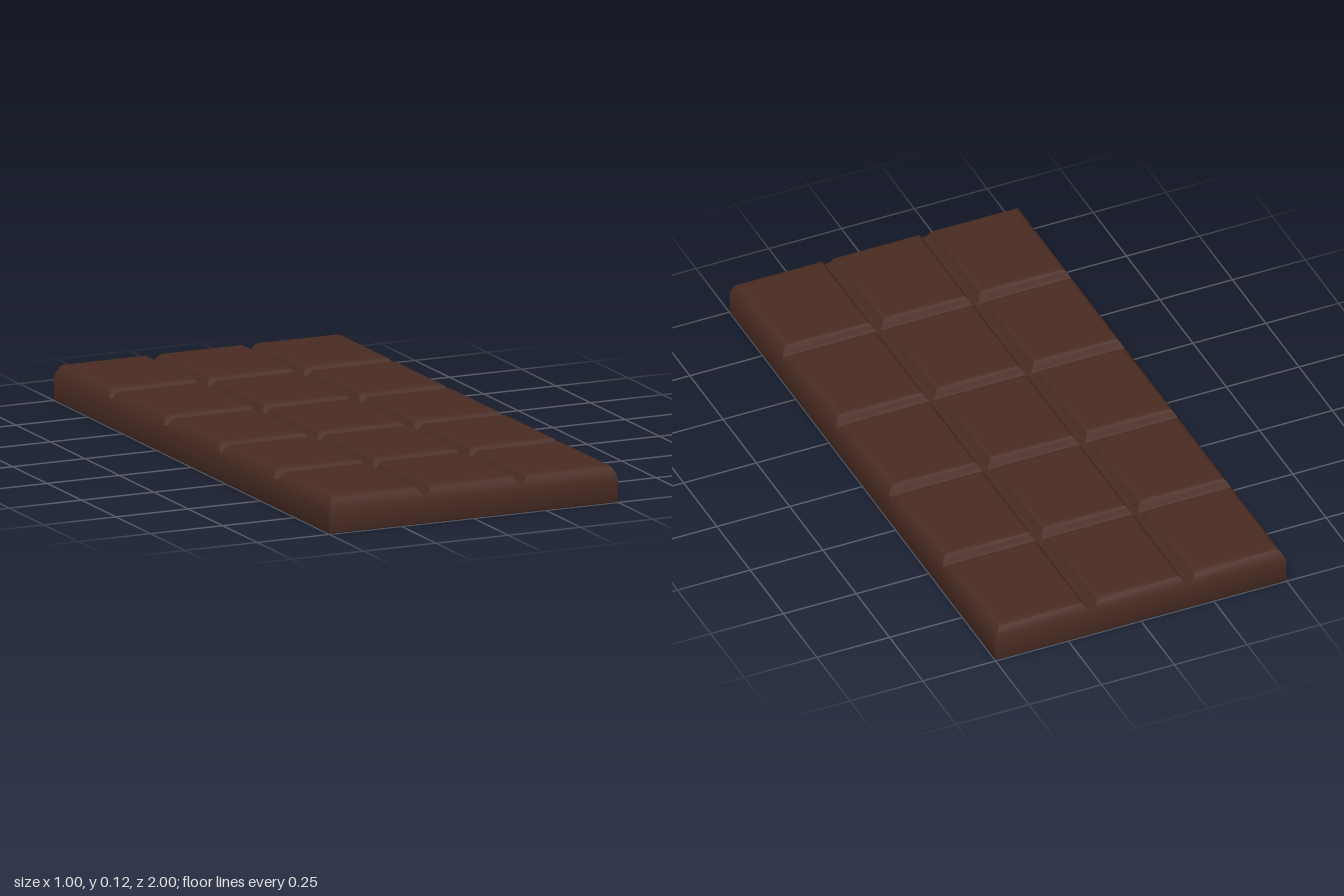
import * as THREE from 'three';
import { toCreasedNormals } from 'three/addons/utils/BufferGeometryUtils.js';

const HALF_W = 0.5, HALF_L = 1, COLS = 3, ROWS = 5;

// Stacks rectangular rings { x0, x1, z0, z1, y } into a capped shell.
function loft(rings, closeBottom) {
  const pos = [];
  const corners = rings.map(r => [
    [r.x0, r.y, r.z1], [r.x1, r.y, r.z1], [r.x1, r.y, r.z0], [r.x0, r.y, r.z0],
  ]);
  const quad = (a, b, c, d) => pos.push(...a, ...b, ...c, ...a, ...c, ...d);
  for (let k = 0; k < corners.length - 1; k++) {
    const lo = corners[k], hi = corners[k + 1];
    for (let i = 0; i < 4; i++) {
      const j = (i + 1) % 4;
      quad(lo[i], lo[j], hi[j], hi[i]);
    }
  }
  quad(...corners[corners.length - 1]);
  if (closeBottom) quad(...[...corners[0]].reverse());
  const geo = new THREE.BufferGeometry();
  geo.setAttribute('position', new THREE.Float32BufferAttribute(pos, 3));
  return toCreasedNormals(geo, 0.6);
}

export function createModel() {
  const bar = new THREE.Group();
  bar.name = 'chocolateBar';
  const chocolate = new THREE.MeshStandardMaterial({ color: 0x4a2c23 });
  chocolate.name = 'darkChocolate';

  const add = (name, geo) => {
    const mesh = new THREE.Mesh(geo, chocolate);
    mesh.name = name;
    bar.add(mesh);
  };

  // Base slab, up to the floor of the grooves: [inset, height]
  const slab = [[0.007, 0], [0.002, 0.002], [0, 0.007], [0, 0.075], [0.005, 0.09]];
  add('baseSlab', loft(slab.map(([d, y]) => ({
    x0: -HALF_W + d, x1: HALF_W - d, z0: -HALF_L + d, z1: HALF_L - d, y,
  })), true));

  // Rounded squares: [inset at outer rim, inset at groove, height]
  const profile = [
    [0.005, 0.008, 0.09], [0.007, 0.012, 0.095], [0.014, 0.02, 0.109],
    [0.023, 0.026, 0.117], [0.034, 0.034, 0.12], [0.042, 0.042, 0.12],
  ];
  const w = 2 * HALF_W / COLS, l = 2 * HALF_L / ROWS;
  for (let c = 0; c < COLS; c++) {
    for (let r = 0; r < ROWS; r++) {
      const x = -HALF_W + c * w, z = -HALF_L + r * l;
      add(`square_${r + 1}_${c + 1}`, loft(profile.map(([rim, groove, y]) => ({
        x0: x + (c === 0 ? rim : groove),
        x1: x + w - (c === COLS - 1 ? rim : groove),
        z0: z + (r === 0 ? rim : groove),
        z1: z + l - (r === ROWS - 1 ? rim : groove),
        y,
      })), false));
    }
  }
  return bar;
}
